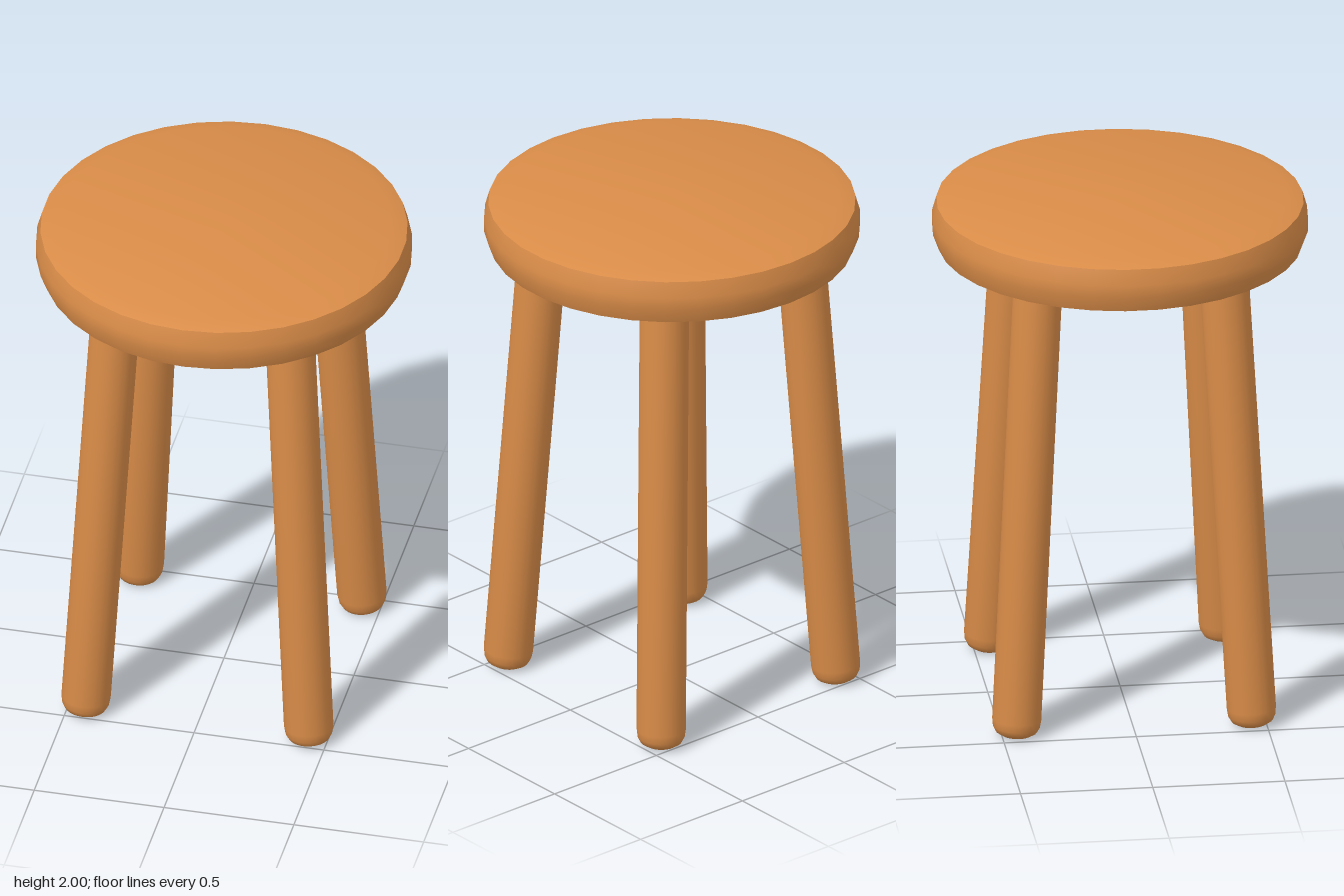
import * as THREE from 'three';
import { toCreasedNormals } from 'three/addons/utils/BufferGeometryUtils.js';

// Turned solid from [radius, height] pairs listed bottom to top
function turned(profile, sides) {
  const points = profile.map(([r, y]) => new THREE.Vector2(r, y));
  return toCreasedNormals(new THREE.LatheGeometry(points, sides), 0.7);
}

export function createModel() {
  const model = new THREE.Group();
  model.name = 'stool';
  const wood = new THREE.MeshStandardMaterial({ color: 0xd98c48 });

  // Round seat with softened rims
  const seat = new THREE.Mesh(turned([
    [0, 1.79], [0.63, 1.79], [0.685, 1.81], [0.707, 1.87],
    [0.707, 1.92], [0.69, 1.98], [0.63, 2], [0, 2],
  ], 34), wood);
  seat.name = 'seat';
  model.add(seat);

  // Four splayed legs with rounded feet, running a little way into the seat
  const foot = new THREE.Vector3(0.432, 0.007, 0.447);
  const top = new THREE.Vector3(0.333, 1.83, 0.35);
  const length = foot.distanceTo(top);
  const legGeometry = turned([
    [0, 0], [0.055, 0], [0.078, 0.014], [0.089, 0.035],
    [0.093, 0.065], [0.093, length], [0, length],
  ], 24);
  const up = new THREE.Vector3(0, 1, 0);

  for (const [sx, sz, name] of [
    [1, 1, 'frontLeftLeg'], [-1, 1, 'frontRightLeg'],
    [1, -1, 'backLeftLeg'], [-1, -1, 'backRightLeg'],
  ]) {
    const side = new THREE.Vector3(sx, 1, sz);
    const start = foot.clone().multiply(side);
    const axis = top.clone().multiply(side).sub(start).normalize();
    const leg = new THREE.Mesh(legGeometry, wood);
    leg.name = name;
    leg.position.copy(start);
    leg.quaternion.setFromUnitVectors(up, axis);
    model.add(leg);
  }

  return model;
}
